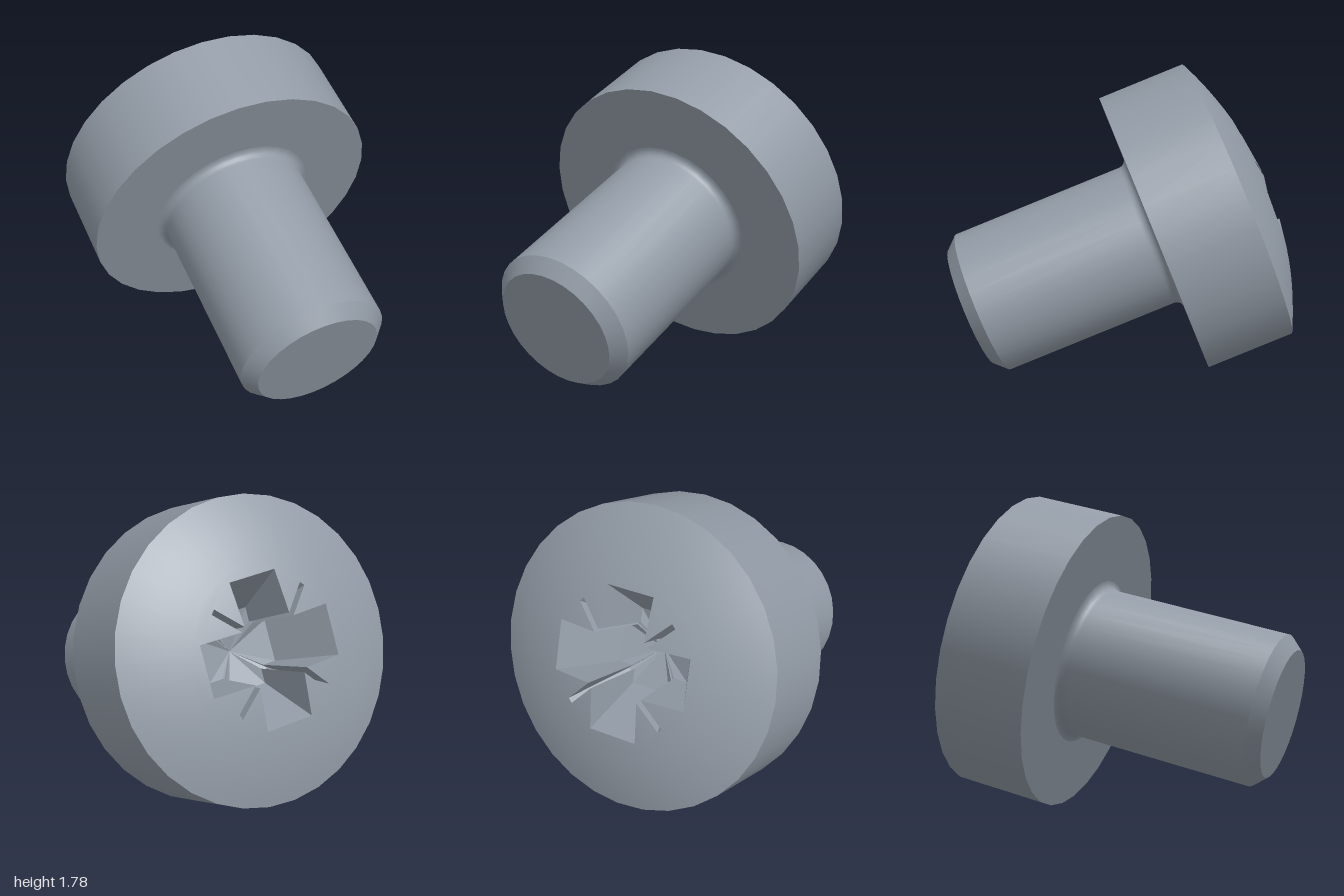
import * as THREE from 'three';

const SEG = 32;
const HEAD_R = 0.853, HEAD_H = 0.52, DOME_H = 0.2, RECESS_RIM = 0.47;
const SPHERE_R = (HEAD_R ** 2 + DOME_H ** 2) / (2 * DOME_H);

// height of the domed top at a distance r from the axis
const domeY = (r) => HEAD_H + DOME_H - SPHERE_R + Math.sqrt(SPHERE_R ** 2 - r * r);

// cross outline with a thin slot on each diagonal
function crossOutline(reach, half, slotReach, slotHalf) {
  const e = slotHalf * Math.SQRT2, s = slotReach * Math.SQRT1_2, f = e / 2;
  const quarter = [
    [reach, -half], [reach, half], [half + e, half],
    [s + f, s - f], [s - f, s + f], [half, half + e],
  ];
  const pts = [];
  for (let q = 0; q < 4; q++) {
    const c = [1, 0, -1, 0][q], n = [0, 1, 0, -1][q];
    for (const [x, y] of quarter) pts.push(new THREE.Vector2(x * c - y * n, x * n + y * c));
  }
  return pts;
}

// part of the dome around the recess
function domeCentre(outline) {
  const ring = [];
  for (let i = 0; i < SEG; i++) {
    const a = (i / SEG) * Math.PI * 2;
    ring.push(new THREE.Vector2(Math.cos(a) * RECESS_RIM, Math.sin(a) * RECESS_RIM));
  }
  const shape = new THREE.Shape(ring);
  shape.holes.push(new THREE.Path(outline));
  const geo = new THREE.ShapeGeometry(shape).rotateX(-Math.PI / 2);
  const p = geo.attributes.position, n = geo.attributes.normal, v = new THREE.Vector3();
  for (let i = 0; i < p.count; i++) {
    const x = p.getX(i), z = p.getZ(i), y = domeY(Math.hypot(x, z));
    p.setY(i, y);
    v.set(x, y - (HEAD_H + DOME_H - SPHERE_R), z).normalize();
    n.setXYZ(i, v.x, v.y, v.z);
  }
  return geo;
}

// tapered recess walls and conical floor
function recessGeometry(top) {
  const bottom = crossOutline(0.22, 0.12, 0.21, 0.012);
  const N = top.length, floorY = HEAD_H + DOME_H - 0.4, pos = [], idx = [];
  for (const t of top) pos.push(t.x, domeY(t.length()), -t.y);
  for (const b of bottom) pos.push(b.x, floorY, -b.y);
  pos.push(0, floorY - 0.09, 0);
  for (let i = 0; i < N; i++) {
    const j = (i + 1) % N;
    idx.push(i, j, N + i, j, N + j, N + i, N + i, N + j, 2 * N);
  }
  const geo = new THREE.BufferGeometry();
  geo.setAttribute('position', new THREE.Float32BufferAttribute(pos, 3));
  geo.setIndex(idx);
  const flat = geo.toNonIndexed();
  flat.computeVertexNormals();
  return flat;
}

export function createModel() {
  const model = new THREE.Group();
  model.name = 'screw';
  const steel = new THREE.MeshStandardMaterial({ color: 0x929ba6 });
  steel.name = 'steel grey';

  const add = (name, geo) => {
    const mesh = new THREE.Mesh(geo, steel);
    mesh.name = name;
    model.add(mesh);
  };
  const lathe = (name, pts) =>
    add(name, new THREE.LatheGeometry(pts.map(([r, y]) => new THREE.Vector2(r, y)), SEG));

  // shaft with chamfered tip and a small fillet under the head
  lathe('shaftEnd', [[0, -1.16], [0.36, -1.16]]);
  lathe('shaftChamfer', [[0.36, -1.16], [0.43, -1.085]]);
  const shaft = [[0.43, -1.085], [0.43, -0.06]];
  for (let i = 0; i <= 5; i++) {
    const a = (i / 5) * Math.PI / 2;
    shaft.push([0.475 - 0.045 * Math.cos(a), -0.045 + 0.045 * Math.sin(a)]);
  }
  lathe('shaft', shaft);

  // head
  lathe('headUnderside', [[0.475, 0], [HEAD_R, 0]]);
  lathe('headSide', [[HEAD_R, 0], [HEAD_R, HEAD_H]]);
  const dome = [];
  for (let i = 0; i <= 8; i++) {
    const r = HEAD_R + (RECESS_RIM - HEAD_R) * (i / 8);
    dome.push([r, domeY(r)]);
  }
  lathe('headDome', dome);

  // drive recess
  const outline = crossOutline(0.41, 0.145, 0.41, 0.016);
  add('headDomeCentre', domeCentre(outline));
  add('driveRecess', recessGeometry(outline));

  // lay the screw over, resting on its head rim and tip
  const up = new THREE.Vector3(-0.91, 0.364, -0.2).normalize();
  const side = new THREE.Vector3(0, 0, 1).addScaledVector(up, -up.z).normalize();
  const third = new THREE.Vector3().crossVectors(side, up);
  model.quaternion.setFromRotationMatrix(new THREE.Matrix4().makeBasis(side, up, third));
  model.position.set(-0.195, 0.795, 0.045);

  const root = new THREE.Group();
  root.name = 'tiltedScrew';
  root.add(model);
  return root;
}
